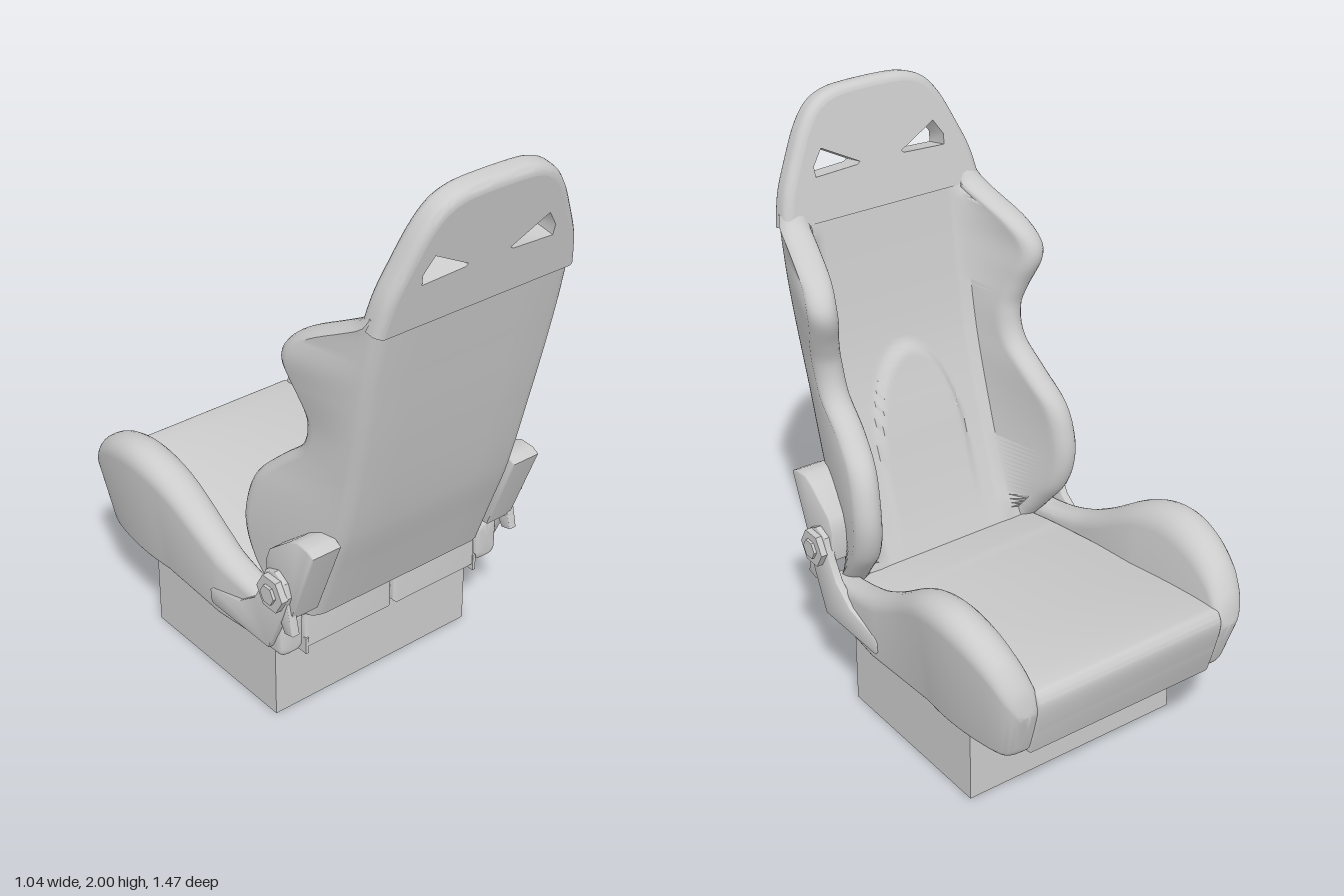
import * as THREE from 'three';
import { toCreasedNormals } from 'three/addons/utils/BufferGeometryUtils.js';

const grey = new THREE.MeshStandardMaterial({ color: 0xcccccc });
const { clamp, smoothstep } = THREE.MathUtils;

function add(group, name, geometry, crease = 0.7) {
  const mesh = new THREE.Mesh(toCreasedNormals(geometry, crease), grey);
  mesh.name = name;
  group.add(mesh);
}

// Smooth function through [position, value] pairs in ascending order, held at both ends
function curve(p) {
  const last = p.length - 1;
  const slope = i => {
    const a = p[Math.max(i - 1, 0)], b = p[Math.min(i + 1, last)];
    return (b[1] - a[1]) / (b[0] - a[0]);
  };
  return t => {
    let i = 0;
    while (i < last - 1 && t > p[i + 1][0]) i++;
    const w = p[i + 1][0] - p[i][0], u = clamp((t - p[i][0]) / w, 0, 1), v = 1 - u;
    return v * v * ((1 + 2 * u) * p[i][1] + u * w * slope(i))
      + u * u * ((1 + 2 * v) * p[i + 1][1] - v * w * slope(i + 1));
  };
}

// Skin closed rings of points, cap both ends and face outward
function loft(rings, hubs) {
  const n = rings[0].length, m = rings.length, e = (m - 1) * n;
  const pts = [...rings.flat(), ...hubs];
  const index = [];
  for (let i = 0; i < m - 1; i++) for (let j = 0; j < n; j++) {
    const a = i * n + j, b = i * n + (j + 1) % n;
    index.push(a, b, a + n, b, b + n, a + n);
  }
  for (let j = 0; j < n; j++) {
    const k = (j + 1) % n;
    index.push(m * n, k, j, m * n + 1, e + j, e + k);
  }
  let volume = 0;
  const c = new THREE.Vector3();
  for (let i = 0; i < index.length; i += 3) {
    volume += pts[index[i]].dot(c.crossVectors(pts[index[i + 1]], pts[index[i + 2]]));
  }
  if (volume < 0) index.reverse();
  const g = new THREE.BufferGeometry().setFromPoints(pts);
  g.setIndex(index);
  return g;
}

// Side outline given as [z, y], extruded from x0 to x1
function sidePart(points, x0, x1, bevel) {
  const shape = new THREE.Shape(points.map(([z, y]) => new THREE.Vector2(-z, y)));
  return new THREE.ExtrudeGeometry(shape, {
    depth: x1 - x0 - 2 * bevel, bevelSize: bevel, bevelThickness: bevel,
    bevelOffset: -bevel, bevelSegments: 4
  }).translate(0, 0, x0 + bevel).rotateY(Math.PI / 2);
}

const smooth = pts => new THREE.SplineCurve(pts.map(p => new THREE.Vector2(...p)));

// Backrest: U-shaped sections with padded wings and a lumbar bulge
function backrest() {
  const back = curve([[0.44, 0.342], [0.6, 0.4], [0.8, 0.472], [1.1, 0.548], [1.4, 0.613], [1.63, 0.661]]);
  const front = curve([[0.44, 0.255], [0.6, 0.32], [0.8, 0.395], [1.1, 0.49], [1.4, 0.55], [1.63, 0.585]]);
  const tip = curve([[0.44, 0.24], [0.52, 0.175], [0.6, 0.115], [0.7, 0.085], [0.8, 0.09], [0.91, 0.13],
    [1, 0.22], [1.09, 0.32], [1.2, 0.35], [1.28, 0.33], [1.38, 0.29], [1.44, 0.3], [1.5, 0.36],
    [1.57, 0.5], [1.6, 0.555], [1.63, 0.58]]);
  const outer = curve([[0.44, 0.41], [0.55, 0.43], [0.7, 0.445], [0.8, 0.445], [0.9, 0.435], [1, 0.415],
    [1.1, 0.405], [1.2, 0.41], [1.33, 0.44], [1.42, 0.455], [1.5, 0.435], [1.57, 0.4], [1.63, 0.377]]);
  const spine = curve([[0.44, 0.36], [1, 0.365], [1.4, 0.38], [1.63, 0.377]]);
  const inner = curve([[0.44, 0.26], [1, 0.27], [1.63, 0.28]]);
  const rings = [], rows = 76;
  for (let i = 0; i <= rows; i++) {
    const y = 0.44 + 1.19 * i / rows;
    const zb = back(y), zf = front(y), zt = tip(y), wb = spine(y), wo = outer(y), wi = inner(y);
    const d = Math.min(0.055, (zb - zt) / 2);
    const half = [[0, zb], [wb / 2, zb], [wb - 0.05, zb], [wb - 0.025, zb - 0.006], [wb - 0.007, zb - 0.02], [wb, zb - 0.038]];
    for (let k = 0; k <= 10; k++) {
      const a = Math.PI * k / 10, z = zt + d - d * Math.sin(a);
      half.push([wo - 0.05 + 0.05 * Math.cos(a), k > 5 ? Math.min(z, zf) : z]);
    }
    half.push([wi + 0.012, zf - clamp((zf - zt) * 0.2, 0, 0.02)]);
    for (let k = 0; k <= 18; k++) {
      const x = (wi - 0.02) * (1 - k / 18);
      const r = 1 - (x / 0.18) ** 2 - Math.max(0, (y - 0.75) / 0.38) ** 2;
      half.push([x, zf - 0.022 * smoothstep(r, 0, 0.2) * smoothstep(y, 0.45, 0.95)]);
    }
    const mirrored = half.slice(1, -1).reverse().map(([x, z]) => [-x, z]);
    rings.push([...half, ...mirrored].map(([x, z]) => new THREE.Vector3(x, y, z)));
  }
  const hub = y => new THREE.Vector3(0, y, (back(y) + front(y)) / 2);
  return loft(rings, [hub(0.44), hub(1.63)]);
}

// Headrest: slab with two slots inside a rounded rim
function headrest() {
  const g = new THREE.Group();
  g.name = 'headrest';
  const right = [[0.383, -0.205], [0.36, -0.1], [0.318, 0], [0.268, 0.1], [0.215, 0.165], [0.15, 0.196], [0.07, 0.205]];
  const path = smooth([...right, ...right.slice().reverse().map(([x, y]) => [-x, y])]);
  const h = 0.043, r = 0.03, rings = [], inset = [];
  for (let i = 0; i <= 70; i++) {
    const p = path.getPoint(i / 70), t = path.getTangent(i / 70);
    const ring = [];
    for (const s of [1, -1]) for (let k = 0; k <= 5; k++) {
      const a = Math.PI / 2 * (s > 0 ? 1 - k / 5 : k / 5), d = r * Math.cos(a) - r;
      ring.push(new THREE.Vector3(p.x + t.y * d, p.y - t.x * d, s * (h - r + r * Math.sin(a))));
    }
    rings.push(ring);
    inset.push(new THREE.Vector2(p.x - t.y * r, p.y + t.x * r));
  }
  const mid = ring => ring[0].clone().lerp(ring[11], 0.5);
  add(g, 'headrestRim', loft(rings, [mid(rings[0]), mid(rings[70])]));
  const shape = new THREE.Shape(inset);
  for (const s of [1, -1]) {
    shape.holes.push(new THREE.Path([[0.08, -0.05], [0.215, 0.022], [0.25, -0.03], [0.247, -0.065], [0.09, -0.058]]
      .map(([x, y]) => new THREE.Vector2(s * x, y))));
  }
  add(g, 'headrestPanel', new THREE.ExtrudeGeometry(shape, { depth: 2 * h, bevelEnabled: false }).translate(0, 0, -h));
  g.rotation.x = Math.atan(0.19);
  g.position.set(0, 1.79, 0.654);
  return g;
}

// Seat bolster: rounded upright sections along z, leaning outward
function bolster(s) {
  const top = curve([[-0.738, 0.5], [-0.725, 0.56], [-0.7, 0.61], [-0.65, 0.67], [-0.55, 0.73], [-0.42, 0.755],
    [-0.28, 0.72], [-0.1, 0.605], [0, 0.55], [0.1, 0.51], [0.2, 0.485], [0.31, 0.47]]);
  const out = curve([[-0.738, 0.475], [-0.65, 0.5], [-0.5, 0.518], [-0.35, 0.518], [-0.15, 0.497], [0, 0.48], [0.15, 0.466], [0.31, 0.46]]);
  const rings = [], hubs = [], rows = 60;
  for (let i = 0; i <= rows; i++) {
    const z = -0.738 + 1.048 * (0.5 - 0.5 * Math.cos(Math.PI * i / rows));
    // both ends are rounded off by pulling the section in
    const f = clamp(1 - (z + 0.738) / 0.045, 0, 1), b = clamp(1 - (0.31 - z) / 0.02, 0, 1);
    const pad = 0.035 * (1 - Math.sqrt(1 - f * f)) + 0.02 * (1 - Math.sqrt(1 - b * b));
    const x0 = 0.368 + pad, x1 = out(z) - pad, y0 = 0.31 + pad, y1 = top(z) - b * 0.02;
    const lean = 0.13 * clamp(-z / 0.3, 0, 1);
    const place = (x, y) => new THREE.Vector3(s * (x + lean * (y - 0.68)), y,
      z + 0.055 * Math.max(0, (0.5 - y) / 0.19) * clamp((-0.3 - z) / 0.43, 0, 1));
    const rt = Math.min((x1 - x0) * 0.48, 0.03 + Math.max(0, y1 - 0.48) * 0.35), rb = Math.min(0.025, (x1 - x0) * 0.4);
    const ring = [];
    [[x1 - rt, y1 - rt, rt], [x0 + rt, y1 - rt, rt], [x0 + rb, y0 + rb, rb], [x1 - rb, y0 + rb, rb]].forEach(([cx, cy, r], q) => {
      for (let k = 0; k <= 6; k++) {
        const a = Math.PI / 2 * (q + k / 6);
        ring.push(place(cx + r * Math.cos(a), cy + r * Math.sin(a)));
      }
    });
    rings.push(ring);
    if (i === 0 || i === rows) hubs.push(place((x0 + x1) / 2, (y0 + y1) / 2));
  }
  return loft(rings, hubs);
}

export function createModel() {
  const model = new THREE.Group();
  model.name = 'bucketSeat';

  add(model, 'pedestal', new THREE.BoxGeometry(0.82, 0.315, 0.66).translate(0, 0.1575, -0.12));

  // Seat cushion and the two pads behind it
  const cushionTop = smooth([[-0.69, 0.315], [-0.715, 0.4], [-0.738, 0.5], [-0.73, 0.545], [-0.69, 0.562],
    [-0.5, 0.548], [-0.2, 0.51], [0.1, 0.47], [0.27, 0.44]]).getPoints(40).map(p => [p.x, p.y]);
  add(model, 'seatCushion', sidePart([...cushionTop, [0.28, 0.315]], -0.366, 0.366, 0.015));
  for (const x0 of [0.003, -0.365]) {
    add(model, 'rearPad', sidePart([[0.1, 0.31], [0.1, 0.44], [0.305, 0.44], [0.31, 0.31]], x0, x0 + 0.362, 0.018));
  }

  add(model, 'backrest', backrest());
  model.add(headrest());

  // Mirrored bolsters and recliner hardware
  for (const s of [1, -1]) {
    const span = (a, b) => s > 0 ? [a, b] : [-b, -a];
    add(model, 'seatBolster', bolster(s));
    add(model, 'reclinerArm', sidePart([[0.478, 0.79], [0.45, 0.805], [0.4, 0.808], [0.36, 0.79], [0.26, 0.71],
      [0.24, 0.66], [0.25, 0.55], [0.34, 0.5], [0.365, 0.5]], ...span(0.355, 0.465), 0.006));
    add(model, 'reclinerPlate', sidePart([[0.27, 0.345], [-0.025, 0.345], [-0.037, 0.36], [-0.037, 0.395], [-0.02, 0.41],
      [0.12, 0.44], [0.2, 0.5], [0.24, 0.57], [0.26, 0.64], [0.31, 0.66], [0.355, 0.635], [0.372, 0.59], [0.34, 0.5]],
      ...span(0.455, 0.483), 0.004));
    add(model, 'reclinerFoot', sidePart([[0.385, 0.45], [0.345, 0.44], [0.3, 0.52], [0.36, 0.56]], ...span(0.445, 0.475), 0.004));
    for (const [name, r, x] of [['pivotDisc', 0.064, 0.493], ['pivotBolt', 0.034, 0.503]]) {
      add(model, name, new THREE.CylinderGeometry(r, r, 0.024, 6).rotateZ(Math.PI / 2).translate(s * x, 0.587, 0.31));
    }
    add(model, 'rail', new THREE.BoxGeometry(0.012, 0.06, 0.1).translate(s * 0.358, 0.315, 0.262));
  }
  return model;
}
